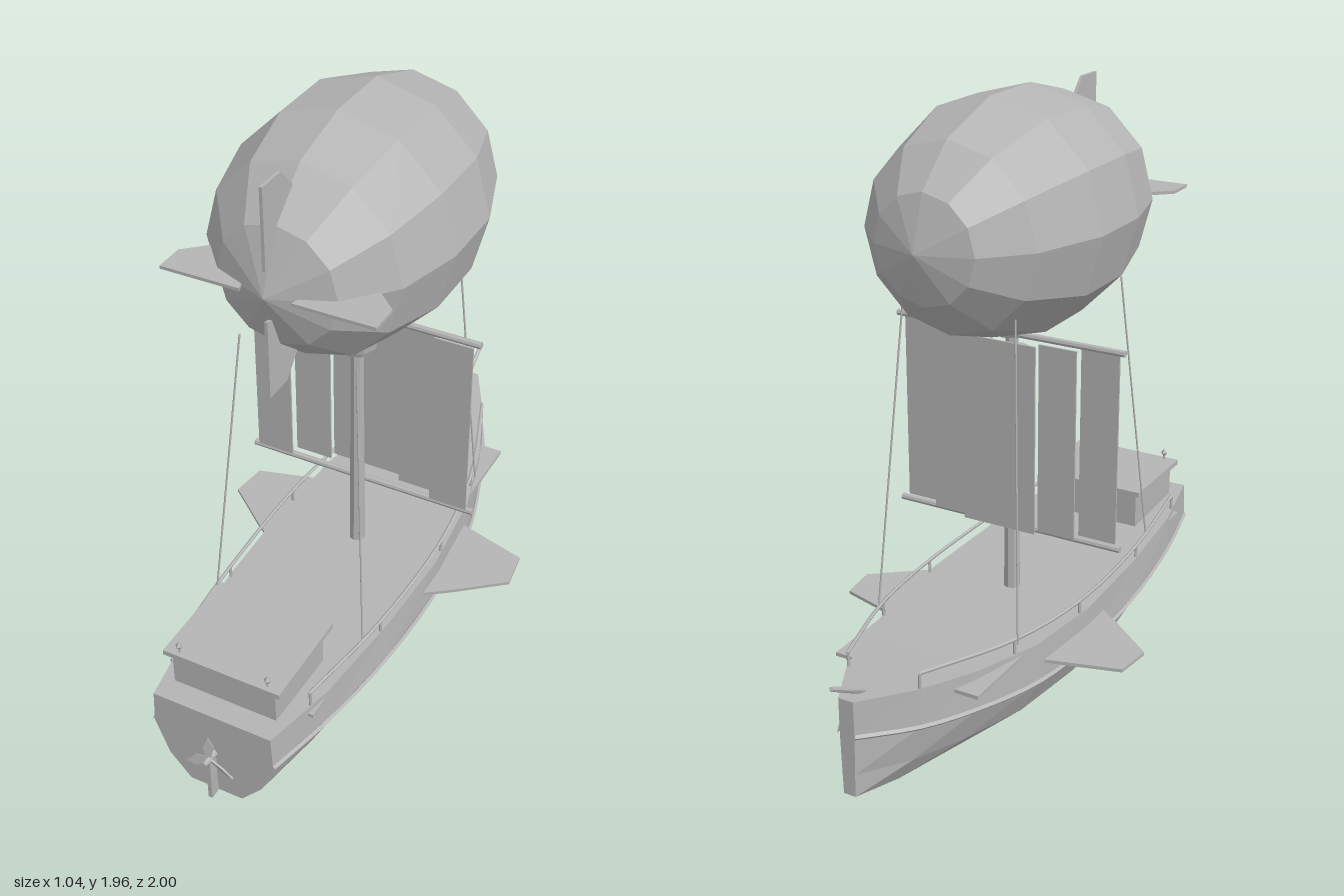
import * as THREE from 'three';

const grey = new THREE.MeshStandardMaterial({ color: 0xb4b4b4, flatShading: true });
const V = (x, y, z) => new THREE.Vector3(x, y, z);

export function createModel() {
  const model = new THREE.Group();

  const add = (name, geometry, x = 0, y = 0, z = 0, parent = model) => {
    const mesh = new THREE.Mesh(geometry, grey);
    mesh.name = name;
    mesh.position.set(x, y, z);
    parent.add(mesh);
    return mesh;
  };
  // Round bar between two points
  const bar = (name, a, b, r0, r1 = r0, sides = 6) => {
    const dir = b.clone().sub(a);
    const mesh = add(name, new THREE.CylinderGeometry(r1, r0, dir.length(), sides));
    mesh.position.copy(a).lerp(b, 0.5);
    mesh.quaternion.setFromUnitVectors(V(0, 1, 0), dir.normalize());
    return mesh;
  };
  // Thin plate centred on its own plane
  const plate = (points, thickness) => {
    const shape = new THREE.Shape(points.map(([a, b]) => new THREE.Vector2(a, b)));
    return new THREE.ExtrudeGeometry(shape, { depth: thickness, bevelEnabled: false })
      .translate(0, 0, -thickness / 2);
  };

  // Hull stations: z, then half-width and height at sheer, wale, bilge and keel
  const stations = [
    [0.945, 0.2, 0.365, 0.205, 0.25, 0.16, 0.13, 0.09, 0.05],
    [0.69, 0.25, 0.35, 0.255, 0.235, 0.195, 0.11, 0.1, 0.03],
    [0.35, 0.28, 0.34, 0.29, 0.215, 0.225, 0.095, 0.105, 0.012],
    [0, 0.29, 0.335, 0.295, 0.207, 0.235, 0.087, 0.105, 0.003],
    [-0.3, 0.265, 0.343, 0.272, 0.215, 0.21, 0.095, 0.095, 0.012],
    [-0.55, 0.2, 0.362, 0.205, 0.235, 0.155, 0.115, 0.075, 0.035],
    [-0.75, 0.125, 0.385, 0.128, 0.26, 0.1, 0.14, 0.05, 0.06],
    [-0.93, 0.025, 0.41, 0.025, 0.295, 0.022, 0.17, 0.02, 0.095],
  ];
  const position = [], index = [];
  stations.forEach(([z, ...p]) => {
    for (let k = 0; k < 4; k++) position.push(p[2 * k], p[2 * k + 1], z);
    for (let k = 3; k >= 0; k--) position.push(-p[2 * k], p[2 * k + 1], z);
  });
  const last = (stations.length - 1) * 8;
  for (let i = 0; i < last; i += 8) {
    for (let j = 0; j < 8; j++) {
      const n = (j + 1) % 8;
      index.push(i + j, i + n, i + 8 + j, i + n, i + 8 + n, i + 8 + j);
    }
  }
  for (let j = 1; j < 7; j++) index.push(0, j + 1, j, last, last + j, last + j + 1);
  const hull = new THREE.BufferGeometry();
  hull.setAttribute('position', new THREE.Float32BufferAttribute(position, 3));
  hull.setIndex(index);
  hull.computeVertexNormals();
  add('hull', hull);
  add('deckPlate', new THREE.BoxGeometry(0.5, 0.012, 1.41), 0, 0.33, 0.075);

  // Sheer half-width at any z, for the railing
  const sheer = (z) => {
    let i = 0;
    while (i < stations.length - 2 && stations[i + 1][0] > z) i++;
    const [a, b] = [stations[i], stations[i + 1]];
    const t = (a[0] - z) / (a[0] - b[0]);
    return [a[1] + (b[1] - a[1]) * t, a[2] + (b[2] - a[2]) * t];
  };

  for (const s of [1, -1]) {
    // Wale along the side
    const wale = new THREE.CatmullRomCurve3(stations.map((p) => V(s * p[3], p[4], p[0])));
    add('wale', new THREE.TubeGeometry(wale, 28, 0.008, 4));

    // Railing and its posts
    const railPoints = [[0.76, 0.405], [0.38, 0.382], [-0.05, 0.38], [-0.39, 0.398], [-0.74, 0.433]];
    const rail = new THREE.CatmullRomCurve3(
      railPoints.map(([z, y]) => V(s * (sheer(z)[0] - 0.005), y, z)));
    add('rail', new THREE.TubeGeometry(rail, 20, 0.006, 5));
    for (const [z, y] of railPoints) {
      const [x, base] = sheer(z);
      bar('railPost', V(s * (x - 0.005), base - 0.01, z), V(s * (x - 0.005), y, z), 0.005);
    }

    // Side wing
    const wing = plate([[0.2, -0.29], [0.285, -0.262], [0.505, -0.2], [0.52, -0.075],
      [0.37, 0.045], [0.28, 0.11], [0.2, 0.11]].map(([x, z]) => [s * x, z]), 0.011);
    add('sideWing', wing.rotateX(Math.PI / 2), 0, 0.27, 0);

    // Ropes up to the balloon
    bar('rope', V(s * 0.26, 0.39, 0.48), V(s * 0.19, 1.32, 0.38), 0.003);
    bar('rope', V(s * 0.25, 0.39, -0.395), V(s * 0.19, 1.38, -0.305), 0.003);

    // Roof lantern
    const lantern = add('roofLantern', new THREE.OctahedronGeometry(0.012), s * 0.15, 0.515, 0.865);
    lantern.scale.y = 1.4;
    bar('lanternStem', V(s * 0.15, 0.485, 0.865), V(s * 0.15, 0.51, 0.865), 0.003);
  }

  // Stern cabin
  add('cabin', new THREE.BoxGeometry(0.35, 0.16, 0.29), 0, 0.4, 0.722);
  add('cabinRoof', new THREE.BoxGeometry(0.395, 0.017, 0.33), 0, 0.482, 0.717);

  // Bowsprit
  bar('bowsprit', V(0, 0.385, -0.82), V(0, 0.48, -0.993), 0.014, 0.007, 8);

  // Rudder and propeller
  add('rudder', new THREE.BoxGeometry(0.014, 0.17, 0.04), 0, 0.13, 0.96);
  const propeller = new THREE.Group();
  propeller.name = 'propeller';
  propeller.position.set(0, 0.21, 0.972);
  model.add(propeller);
  add('propellerHub', new THREE.CylinderGeometry(0.007, 0.014, 0.056, 8).rotateX(Math.PI / 2),
    0, 0, 0, propeller);
  for (let k = 0; k < 3; k++) {
    const blade = plate([[-0.006, 0], [0.006, 0], [0.017, 0.05], [0, 0.092], [-0.017, 0.05]], 0.006);
    add('propellerBlade', blade.rotateY(0.4), 0, 0, 0, propeller).rotation.z = k * Math.PI * 2 / 3;
  }

  // Mast, lookout and collar under the balloon
  bar('mast', V(0, 0.31, 0.01), V(0, 1.26, 0.01), 0.027, 0.02, 8);
  add('lookout', new THREE.CylinderGeometry(0.07, 0.065, 0.035, 8), 0, 1.138, 0.01);
  add('lookoutBase', new THREE.CylinderGeometry(0.055, 0.045, 0.025, 8), 0, 1.11, 0.01);
  add('mastCollar', new THREE.CylinderGeometry(0.08, 0.06, 0.04, 8), 0, 1.232, 0.01);

  // Yards and the stepped sail panels
  for (const y of [1.22, 0.575]) bar('yard', V(-0.4, y, -0.018), V(0.4, y, -0.018), 0.011, 0.011, 8);
  [-0.008, -0.045, -0.072, -0.072, -0.045, -0.008].forEach((z, i) => {
    add('sailPanel', new THREE.BoxGeometry(0.128, 0.625, 0.006), (i - 2.5) * 0.126, 0.898, z);
  });

  // Balloon
  const profile = [[0, -0.537], [0.165, -0.483], [0.285, -0.353], [0.365, -0.112],
    [0.365, 0.121], [0.31, 0.337], [0.188, 0.481], [0, 0.556]];
  const balloon = new THREE.LatheGeometry(profile.map(([r, z]) => new THREE.Vector2(r, z)), 12);
  add('balloon', balloon.rotateX(Math.PI / 2), 0, 1.597, 0);

  // Four tail fins
  for (let k = 0; k < 4; k++) {
    const fin = plate([[0.545, 0.08], [0.545, 0.332], [0.45, 0.332], [0.385, 0.262],
      [0.385, 0.2], [0.47, 0.1]], 0.01);
    add('tailFin', fin.rotateY(-Math.PI / 2), 0, 1.597, 0).rotation.z = k * Math.PI / 2;
  }

  return model;
}
